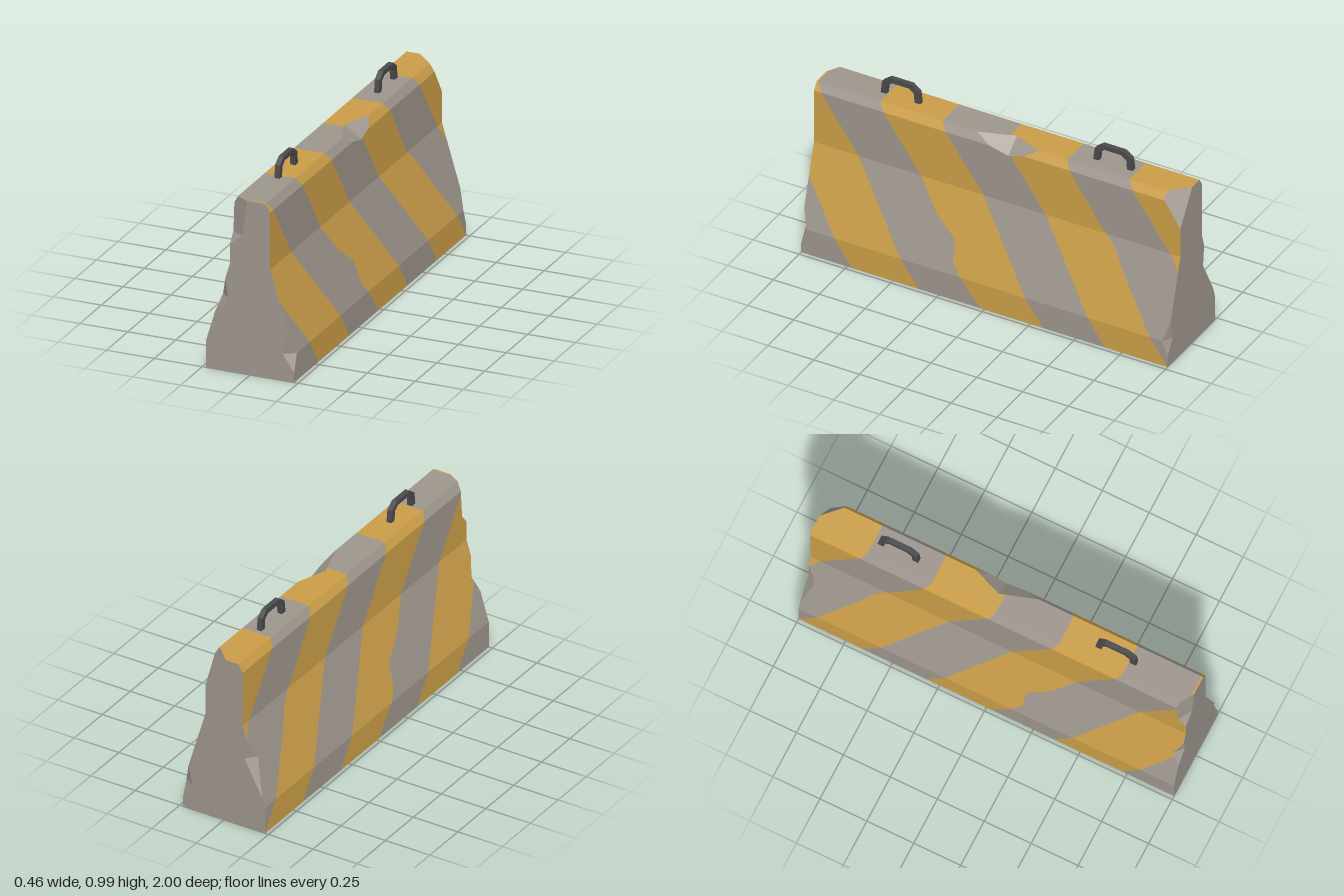
import * as THREE from 'three';

const V = (x, y, z) => new THREE.Vector3(x, y, z);

// half-width of the barrier at each profile height
const PROFILE = [[0, 0.23], [0.14, 0.23], [0.56, 0.105], [0.855, 0.105], [0.895, 0.08]];
const TOP = 0.895, SPLIT = -0.06;

function halfWidth(y) {
  for (let i = 1; i < PROFILE.length; i++) {
    const [y0, w0] = PROFILE[i - 1], [y1, w1] = PROFILE[i];
    if (y <= y1) return w0 + (w1 - w0) * (y - y0) / (y1 - y0);
  }
  return PROFILE[PROFILE.length - 1][1];
}

// convex polygon wound to face along the hint
function face(pts, hint, paint) {
  const n = V(0, 0, 0);
  for (let i = 1; i < pts.length - 1; i++) {
    n.add(pts[i].clone().sub(pts[0]).cross(pts[i + 1].clone().sub(pts[0])));
  }
  return { pts: n.dot(hint) < 0 ? [...pts].reverse() : pts, paint };
}

// part of a polygon on the inner side of a plane
function clip(pts, n, c) {
  const out = [];
  pts.forEach((a, i) => {
    const b = pts[(i + 1) % pts.length], da = n.dot(a) - c, db = n.dot(b) - c;
    if (da <= 1e-7) out.push(a);
    if ((da < -1e-7 && db > 1e-7) || (da > 1e-7 && db < -1e-7)) out.push(a.clone().lerp(b, da / (da - db)));
  });
  return out.length > 2 ? out : [];
}

// knock a corner off a convex piece and cap the broken surface
function chip(faces, inside, [p, q, r]) {
  const n = q.clone().sub(p).cross(r.clone().sub(p)).normalize();
  if (n.dot(inside) > n.dot(p)) n.negate();
  const c = n.dot(p), rim = [], kept = [];
  for (const f of faces) {
    const pts = clip(f.pts, n, c);
    if (!pts.length) continue;
    kept.push({ pts, paint: f.paint });
    for (const v of pts) {
      if (Math.abs(n.dot(v) - c) < 1e-5 && !rim.some(u => u.distanceTo(v) < 1e-5)) rim.push(v);
    }
  }
  if (rim.length > 2) {
    const mid = rim.reduce((s, v) => s.add(v), V(0, 0, 0)).divideScalar(rim.length);
    const u = rim[0].clone().sub(mid).normalize(), w = n.clone().cross(u);
    const angle = v => Math.atan2(v.clone().sub(mid).dot(w), v.clone().sub(mid).dot(u));
    rim.sort((a, b) => angle(a) - angle(b));
    kept.push(face(rim, n, false));
  }
  return kept;
}

// height bands, each a convex slice of the body
const BANDS = [[0, 0.14], [0.14, 0.38], [0.38, 0.56], [0.56, 0.71], [0.71, 0.855, TOP]];

// broken corners: band, end (+1 front, -1 back), three points of the break
const CHIPS = [
  [0, 1, [V(0.23, 0.05, 1), V(0.168, 0.14, 1), V(0.23, 0.14, 0.97)]],
  [1, 1, [V(0.2, 0.24, 1), V(0.168, 0.14, 1), V(0.23, 0.14, 0.97)]],
  [0, -1, [V(0.23, 0.06, -1), V(0.18, 0.14, -1), V(0.23, 0.14, -0.97)]],
  [1, -1, [V(0.2, 0.24, -1), V(0.18, 0.14, -1), V(0.23, 0.14, -0.97)]],
  [1, 1, [V(-0.182, 0.3, 1), V(-0.115, 0.38, 1), V(-0.1586, 0.38, 0.96)]],
  [2, 1, [V(-0.1288, 0.48, 1), V(-0.115, 0.38, 1), V(-0.1586, 0.38, 0.96)]],
  [1, -1, [V(-0.215, 0.19, -1), V(-0.115, 0.38, -1), V(-0.1586, 0.38, -0.95)]],
  [2, -1, [V(-0.1258, 0.49, -1), V(-0.115, 0.38, -1), V(-0.1586, 0.38, -0.95)]],
  [3, 1, [V(-0.105, 0.66, 1), V(-0.04, 0.71, 1), V(-0.105, 0.71, 0.96)]],
  [4, 1, [V(-0.04, 0.71, 1), V(-0.02, 0.87, 1), V(-0.105, 0.71, 0.96)]],
  [4, -1, [V(0.105, 0.72, -1), V(-0.01, TOP, -1), V(0.105, 0.86, -0.91)]],
  // dent in the middle of the top edge
  [4, 1, [V(0.02, TOP, SPLIT), V(0.105, 0.83, SPLIT), V(0.105, 0.86, 0.06)]],
  [4, -1, [V(0.02, TOP, SPLIT), V(0.105, 0.83, SPLIT), V(0.105, 0.86, -0.16)]],
];

function bodyFaces() {
  const all = [];
  BANDS.forEach((ys, band) => {
    for (const end of [1, -1]) {
      let faces = [];
      const bottom = ys[0], top = ys[ys.length - 1];
      for (const s of [1, -1]) {
        for (let i = 1; i < ys.length; i++) {
          const a = ys[i - 1], b = ys[i], wa = s * halfWidth(a), wb = s * halfWidth(b);
          faces.push(face([V(wa, a, SPLIT), V(wa, a, end), V(wb, b, end), V(wb, b, SPLIT)], V(s, 0, 0), true));
        }
      }
      const rim = ys.map(y => V(halfWidth(y), y, end));
      faces.push(face([...rim, ...rim.map(v => V(-v.x, v.y, end)).reverse()], V(0, 0, end), false));
      for (const [y, up] of [[0, -1], [TOP, 1]]) {
        if (y !== bottom && y !== top) continue;
        const w = halfWidth(y);
        faces.push(face([V(w, y, SPLIT), V(w, y, end), V(-w, y, end), V(-w, y, SPLIT)], V(0, up, 0), up > 0));
      }
      const inside = V(0, (bottom + top) / 2, (SPLIT + end) / 2);
      for (const [b, e, pts] of CHIPS) if (b === band && e === end) faces = chip(faces, inside, pts);
      all.push(...faces);
    }
  });
  return all;
}

// slanted stripe borders, with a few worn kinks
const LEVELS = [0, 0.2, 0.31, 0.41, 0.5, 0.59, TOP];
const STARTS = [0.72, 0.36, 0.02, -0.32, -0.66, -1, -1.34, -1.68];
const KINKS = { 2: [0, 0.02, -0.05, 0, 0, 0, 0], 5: [0, 0, 0, 0, -0.01, 0.015, 0] };
const border = (i, k) => STARTS[i] + 0.705 * LEVELS[k] + (KINKS[i] ? KINKS[i][k] : 0);

function paintStripes(faces) {
  const grey = [], yellow = [];
  for (const f of faces) {
    if (!f.paint) { grey.push(f.pts); continue; }
    for (let k = 0; k < LEVELS.length - 1; k++) {
      const lo = LEVELS[k], hi = LEVELS[k + 1];
      if (f.pts.every(v => v.y <= lo + 1e-6)) continue;
      let rest = clip(clip(f.pts, V(0, -1, 0), -lo), V(0, 1, 0), hi);
      STARTS.forEach((_, i) => {
        const z0 = border(i, k), slope = (border(i, k + 1) - z0) / (hi - lo);
        const n = V(0, -slope, 1), c = z0 - slope * lo;
        const ahead = clip(rest, n.clone().negate(), -c);
        if (ahead.length) (i % 2 ? yellow : grey).push(ahead);
        rest = clip(rest, n, c);
      });
      if (rest.length) grey.push(rest);
    }
  }
  return { grey, yellow };
}

function polygonMesh(name, polygons, material) {
  const pos = [];
  for (const p of polygons) {
    for (let i = 1; i < p.length - 1; i++) for (const v of [p[0], p[i], p[i + 1]]) pos.push(v.x, v.y, v.z);
  }
  const g = new THREE.BufferGeometry();
  g.setAttribute('position', new THREE.Float32BufferAttribute(pos, 3));
  g.computeVertexNormals();
  const mesh = new THREE.Mesh(g, material);
  mesh.name = name;
  return mesh;
}

export function createModel() {
  const mat = (name, color) => Object.assign(new THREE.MeshStandardMaterial({ color }), { name });
  const concrete = mat('concrete grey', 0x9e968d);
  const paint = mat('worn yellow paint', 0xcb9e48);
  const steel = mat('dark steel', 0x4b4b4e);
  const group = new THREE.Group();
  group.name = 'concreteBarrier';

  const { grey, yellow } = paintStripes(bodyFaces());
  group.add(polygonMesh('concreteBody', grey, concrete), polygonMesh('yellowStripes', yellow, paint));

  // lifting handles: angular hoops standing on the top
  const outer = [[0.11, 0.88], [0.1, 0.96], [0.06, 0.99]], inner = [[0.078, 0.88], [0.073, 0.945], [0.045, 0.966]];
  const flip = pts => pts.map(([x, y]) => [-x, y]).reverse();
  const outline = [...outer, ...flip(outer), ...flip(inner).reverse(), ...[...inner].reverse()];
  const hoop = new THREE.ExtrudeGeometry(new THREE.Shape(outline.map(p => new THREE.Vector2(...p))),
    { depth: 0.026, bevelEnabled: false });
  hoop.translate(0, 0, -0.013).rotateY(Math.PI / 2);
  for (const [name, z] of [['frontHandle', 0.58], ['backHandle', -0.58]]) {
    const handle = new THREE.Mesh(hoop, steel);
    handle.name = name;
    handle.position.z = z;
    group.add(handle);
  }
  return group;
}
